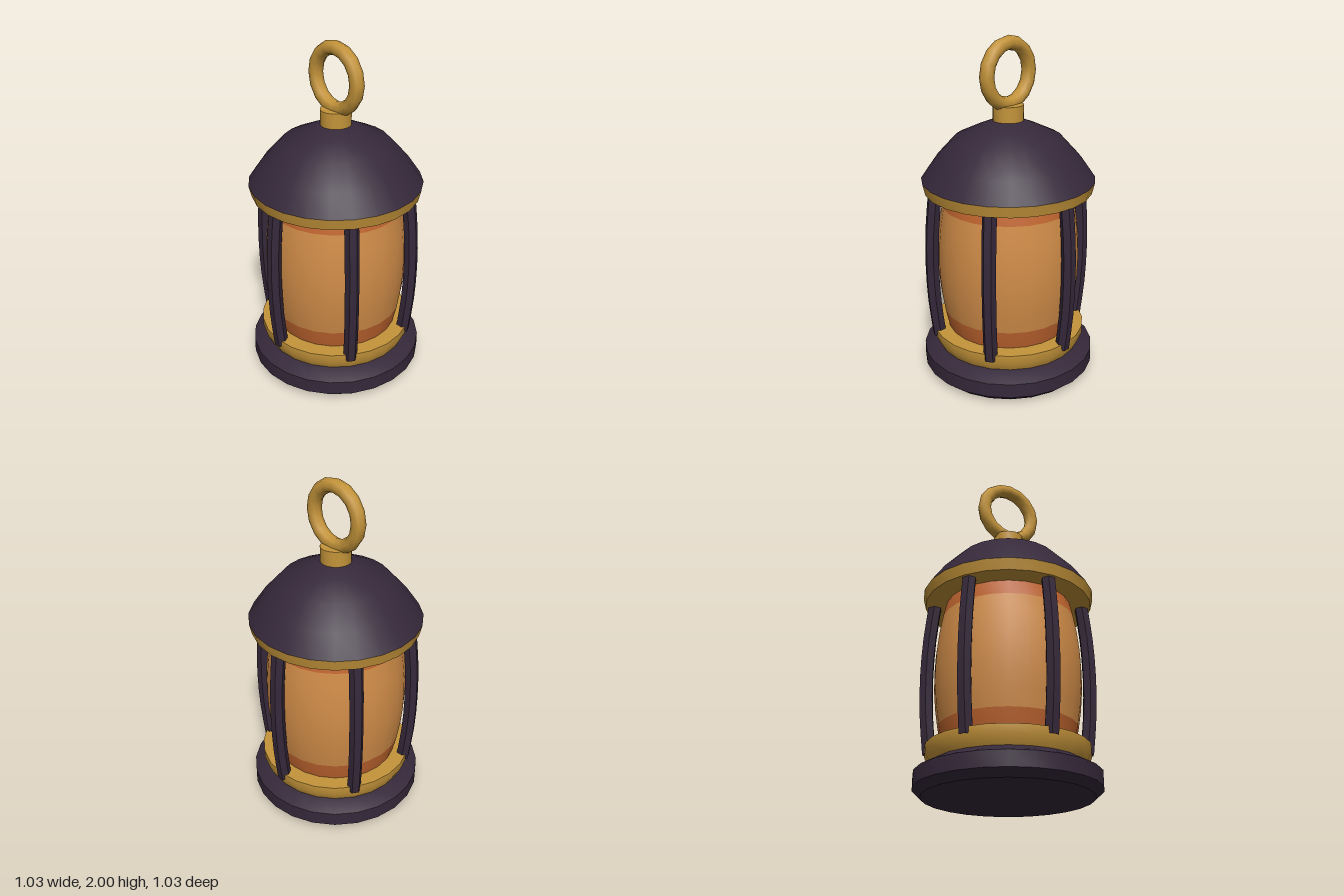
import * as THREE from 'three';
import { toCreasedNormals } from 'three/addons/utils/BufferGeometryUtils.js';

const mat = (name, color) => {
  const m = new THREE.MeshStandardMaterial({ color });
  m.name = name;
  return m;
};

export function createModel() {
  const group = new THREE.Group();
  const iron = mat('dark iron', 0x35283a);
  const brass = mat('brass', 0xc4943a);
  const amber = mat('amber glass', 0xd08c48);
  const rust = mat('burnt orange glass', 0xc0652f);

  const add = (name, geometry, material, parent = group) => {
    const mesh = new THREE.Mesh(geometry, material);
    mesh.name = name;
    parent.add(mesh);
    return mesh;
  };
  // Turned part from [radius, height] points, listed from bottom to top
  const turned = (name, points, material, segments = 24) => add(name,
    toCreasedNormals(new THREE.LatheGeometry(points.map(p => new THREE.Vector2(...p)), segments), 0.55), material);

  // Foot and collar
  turned('base', [[0, 0], [0.47, 0], [0.515, 0.04], [0.515, 0.125], [0.43, 0.172], [0, 0.172]], iron);
  turned('collar', [[0.43, 0.17], [0.457, 0.225], [0.457, 0.275], [0, 0.275]], brass);

  // Barrel-shaped glass with a darker band at each end
  const glassRadius = y => 0.42 - 0.3 * (y - 0.7) ** 2;
  const glass = (name, y0, y1, steps, material) => {
    const points = [];
    for (let i = 0; i <= steps; i++) {
      const y = y0 + (y1 - y0) * i / steps;
      points.push([glassRadius(y), y]);
    }
    turned(name, points, material);
  };
  glass('lowerGlassBand', 0.27, 0.385, 2, rust);
  glass('glass', 0.385, 1.035, 6, amber);
  glass('upperGlassBand', 1.035, 1.13, 2, rust);

  // Six bowed hexagonal bars
  const bow = new THREE.CatmullRomCurve3([
    [0.431, 0.24], [0.455, 0.46], [0.463, 0.69], [0.455, 0.92], [0.431, 1.15],
  ].map(([r, y]) => new THREE.Vector3(0, y, r)));
  const barGeometry = toCreasedNormals(new THREE.TubeGeometry(bow, 8, 0.041, 6), 0.55);
  const capGeometry = new THREE.CircleGeometry(0.041, 6).rotateX(Math.PI / 2);
  for (let i = 0; i < 6; i++) {
    const bar = new THREE.Group();
    bar.name = 'bar';
    bar.rotation.y = i * Math.PI / 3;
    add('barRod', barGeometry, iron, bar);
    add('barFoot', capGeometry, iron, bar).position.set(0, 0.24, 0.431);
    group.add(bar);
  }

  // Roof, with its brass rim
  turned('roofRim', [[0, 1.125], [0.487, 1.125], [0.502, 1.19], [0, 1.19]], brass);
  turned('roof', [[0.502, 1.19], [0.42, 1.308], [0.308, 1.43], [0.175, 1.493], [0.085, 1.53], [0, 1.535]], iron);

  // Hanging ring on a short post
  turned('ringPost', [[0.088, 1.52], [0.088, 1.618], [0, 1.618]], brass);
  add('ring', new THREE.TorusGeometry(0.169, 0.041, 8, 16), brass).position.y = 1.79;

  return group;
}
